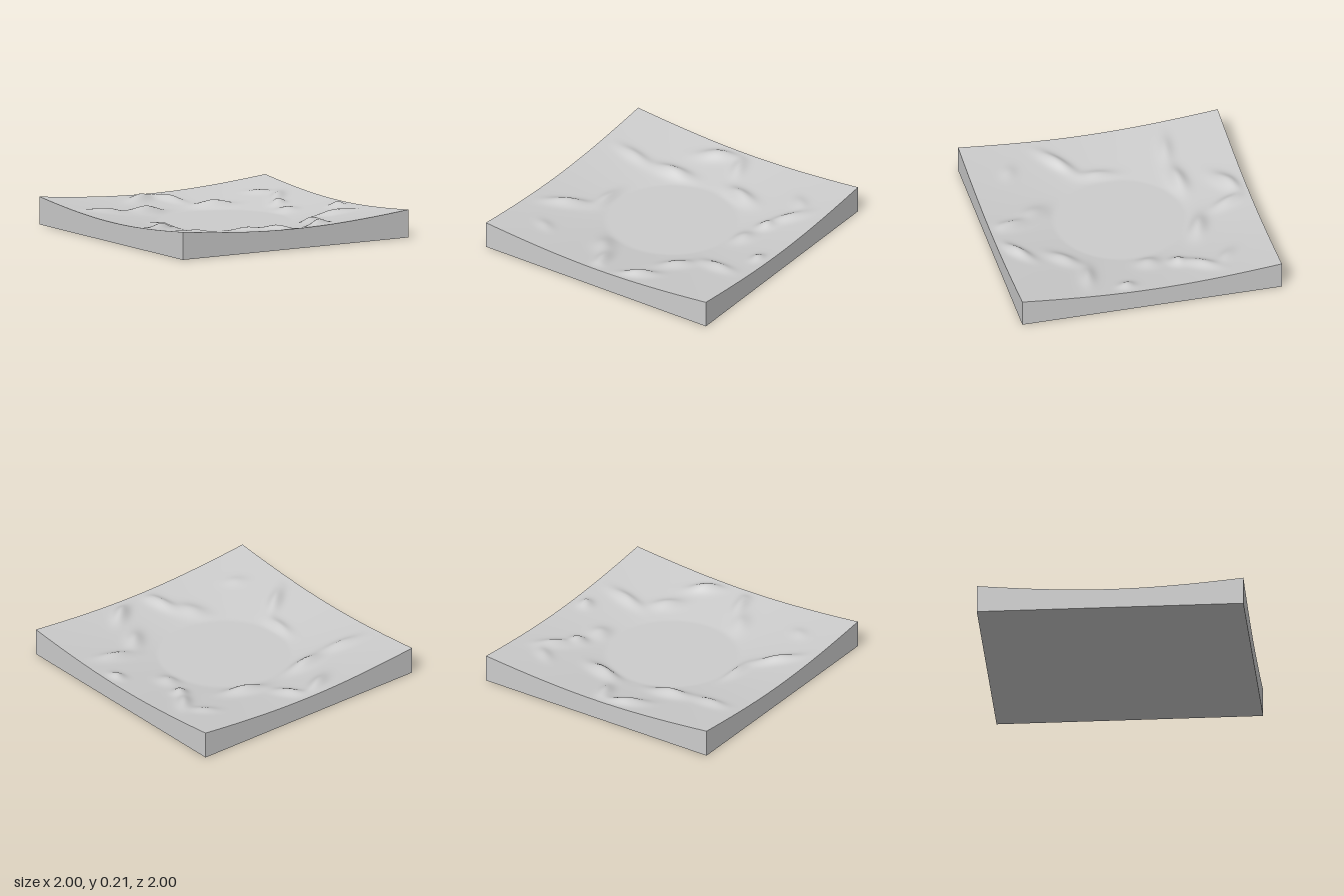
import * as THREE from 'three';

// Ridges around the basin: x, z, direction (degrees, from +x towards +z), half length, half width, height
const ridges = [
  [-0.35, -0.53, -5, 0.14, 0.06, 0.05],
  [0.25, -0.54, 18, 0.14, 0.06, 0.05],
  [-0.56, 0.04, 95, 0.13, 0.05, 0.03],
  [-0.74, 0.30, -38, 0.15, 0.05, 0.042],
  [0.70, 0.42, 12, 0.14, 0.05, 0.035],
  [0.75, -0.44, -50, 0.13, 0.05, 0.035],
  [0.66, -0.28, -40, 0.06, 0.05, 0.04],
  [0.04, -0.82, 68, 0.12, 0.05, 0.035],
  [-0.06, 0.82, 75, 0.13, 0.05, 0.036],
  [0.29, 0.86, -38, 0.12, 0.05, 0.045],
  [-0.19, -0.87, -32, 0.14, 0.06, 0.042],
  [0.60, -0.07, 0, 0.07, 0.08, 0.03],
  [-0.70, -0.52, 10, 0.14, 0.05, 0.03],
  [0.90, 0.17, 60, 0.06, 0.05, 0.034],
  [-0.19, 0.62, 60, 0.12, 0.07, 0.03],
  [0.42, 0.54, -45, 0.12, 0.06, 0.035],
  [-0.68, 0.69, 30, 0.08, 0.05, 0.015],
  [0.72, -0.64, 40, 0.10, 0.05, 0.02],
].map(([x, z, deg, len, wid, h]) => {
  const a = THREE.MathUtils.degToRad(deg);
  return { x, z, c: Math.cos(a), s: Math.sin(a), len, wid, h };
});

// Flat basin, a rim rising steadily outwards, ridges that fade at the basin and the outer edge
function heightAt(x, z) {
  const r = Math.hypot(x, z);
  const base = 0.08 + 0.143 * Math.max(0, r - 0.5);
  const edge = 1 - Math.max(Math.abs(x), Math.abs(z));
  const fade = THREE.MathUtils.smoothstep(r, 0.47, 0.56) * THREE.MathUtils.smoothstep(edge, 0, 0.1);
  let bump = 0;
  for (const k of ridges) {
    const dx = x - k.x, dz = z - k.z;
    const u = (dx * k.c + dz * k.s) / k.len;
    const v = (dz * k.c - dx * k.s) / k.wid;
    bump += k.h * Math.exp(-(u * u + v * v));
  }
  return base + bump * fade;
}

export function createModel() {
  const group = new THREE.Group();
  group.name = 'terrainTile';
  const stone = new THREE.MeshStandardMaterial({ color: 0xcccccc });
  stone.name = 'lightGrey';

  // Solid slab whose upper vertices follow the height rule
  const n = 100;
  const geo = new THREE.BoxGeometry(2, 1, 2, n, 1, n);
  const p = geo.attributes.position;
  for (let i = 0; i < p.count; i++) {
    p.setY(i, p.getY(i) > 0 ? heightAt(p.getX(i), p.getZ(i)) : 0);
  }
  geo.computeVertexNormals();
  const terrain = new THREE.Mesh(geo, stone);
  terrain.name = 'terrainSlab';
  group.add(terrain);
  return group;
}
